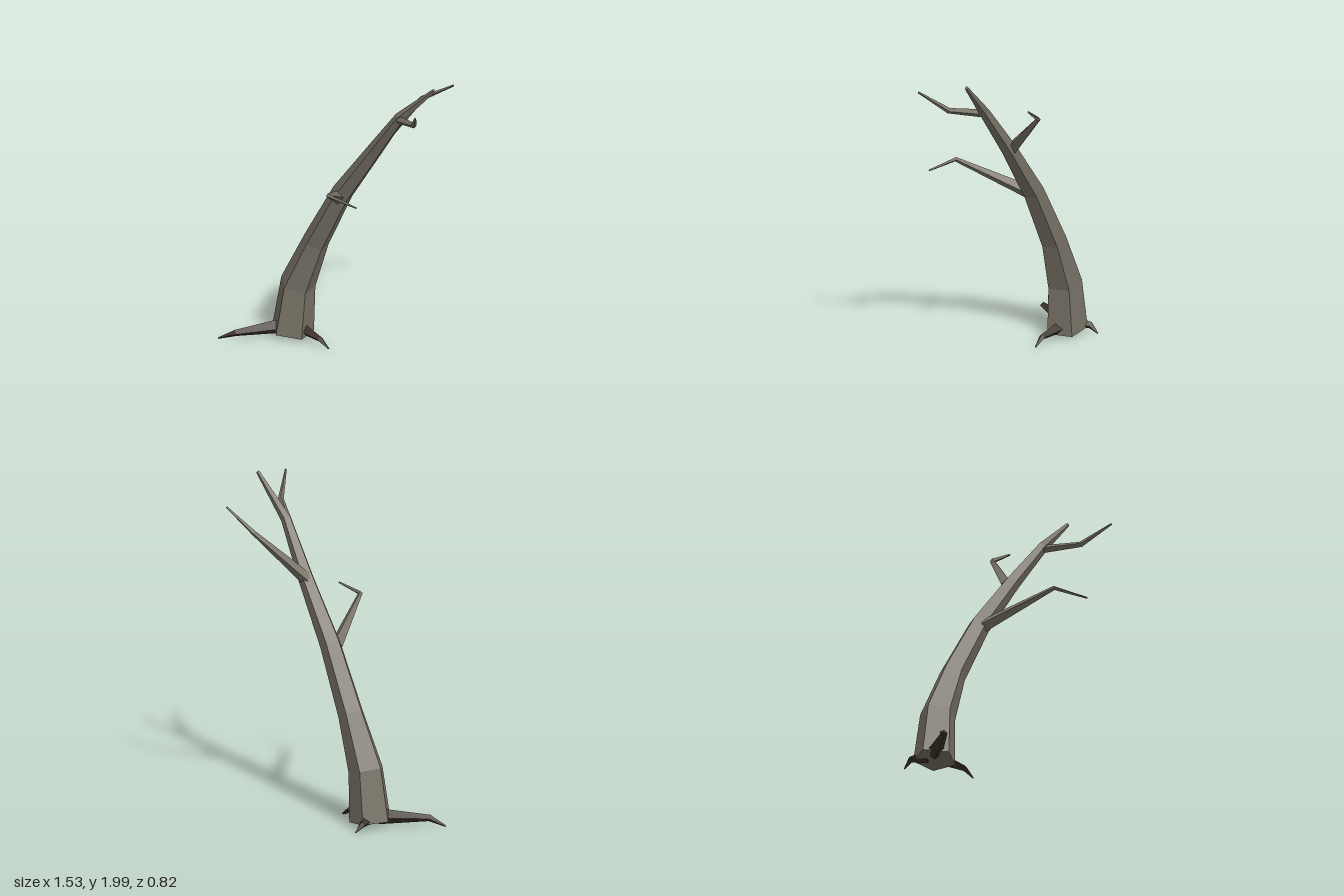
import * as THREE from 'three';

const bark = new THREE.MeshStandardMaterial({ color: 0x7a7468, flatShading: true });
bark.name = 'greyBark';
const rootBark = new THREE.MeshStandardMaterial({ color: 0x40352b, flatShading: true });
rootBark.name = 'darkRoot';

// Lofts a faceted limb through rings [x, y, z, radius]; corner 0 points toward ref.
function limb(name, rings, sides, ref, material) {
  const centres = rings.map(r => new THREE.Vector3(r[0], r[1], r[2]));
  const last = rings.length - 1;
  const step = i => centres[i + 1].clone().sub(centres[i]).normalize();
  const pos = [], idx = [];
  rings.forEach((ring, i) => {
    const d = step(Math.max(i - 1, 0)).add(step(Math.min(i, last - 1))).normalize();
    const u = ref.clone().addScaledVector(d, -d.dot(ref)).normalize();
    const v = d.clone().cross(u);
    for (let k = 0; k < sides; k++) {
      const a = k / sides * Math.PI * 2;
      const p = centres[i].clone()
        .addScaledVector(u, Math.cos(a) * ring[3])
        .addScaledVector(v, Math.sin(a) * ring[3]);
      pos.push(p.x, p.y, p.z);
    }
  });
  for (let i = 0; i < last; i++) {
    for (let k = 0; k < sides; k++) {
      const a = i * sides + k, b = i * sides + (k + 1) % sides;
      idx.push(a, b, b + sides, a, b + sides, a + sides);
    }
  }
  // End caps
  const top = last * sides;
  for (let k = 1; k < sides - 1; k++) idx.push(0, k + 1, k, top, top + k, top + k + 1);

  const indexed = new THREE.BufferGeometry();
  indexed.setAttribute('position', new THREE.Float32BufferAttribute(pos, 3));
  indexed.setIndex(idx);
  const geometry = indexed.toNonIndexed();
  geometry.computeVertexNormals();
  const mesh = new THREE.Mesh(geometry, material);
  mesh.name = name;
  return mesh;
}

export function createModel() {
  const tree = new THREE.Group();
  tree.name = 'bareTree';
  const up = new THREE.Vector3(0, 1, 0);
  const front = new THREE.Vector3(0, 0, 1);

  // Leaning five-sided trunk
  tree.add(limb('trunk', [
    [-0.50, 0.04, 0.035, 0.135],
    [-0.465, 0.355, 0.024, 0.113],
    [-0.327, 0.68, 0.0, 0.083],
    [-0.11, 1.07, -0.013, 0.068],
    [0.155, 1.435, -0.028, 0.05],
    [0.39, 1.745, -0.022, 0.034],
    [0.635, 1.99, -0.073, 0.012],
  ], 5, front, bark));

  // Bent branches
  const branches = {
    lowerBranch: [[-0.11, 1.055, 0.025, 0.042], [0.165, 1.27, 0.368, 0.014], [0.42, 1.276, 0.376, 0.006]],
    backBranch: [[0.13, 1.425, -0.035, 0.04], [0.26, 1.73, -0.335, 0.016], [0.457, 1.858, -0.408, 0.006]],
    upperBranch: [[0.38, 1.73, -0.015, 0.026], [0.615, 1.8, 0.078, 0.018], [0.757, 1.935, 0.202, 0.006]],
  };
  for (const [name, rings] of Object.entries(branches)) tree.add(limb(name, rings, 4, up, bark));

  // Dark roots reaching down to the ground
  const roots = {
    frontRoot: [[-0.53, 0.07, 0.07, 0.05], [-0.678, 0.055, 0.34, 0.021], [-0.762, 0.013, 0.405, 0.005]],
    leftRoot: [[-0.42, 0.07, 0.02, 0.04], [-0.26, 0.055, 0.03, 0.02], [-0.187, 0.012, 0.025, 0.005]],
    backRoot: [[-0.53, 0.07, 0.0, 0.045], [-0.592, 0.055, -0.085, 0.022], [-0.596, 0.012, -0.138, 0.005]],
  };
  for (const [name, rings] of Object.entries(roots)) tree.add(limb(name, rings, 4, up, rootBark));

  return tree;
}
